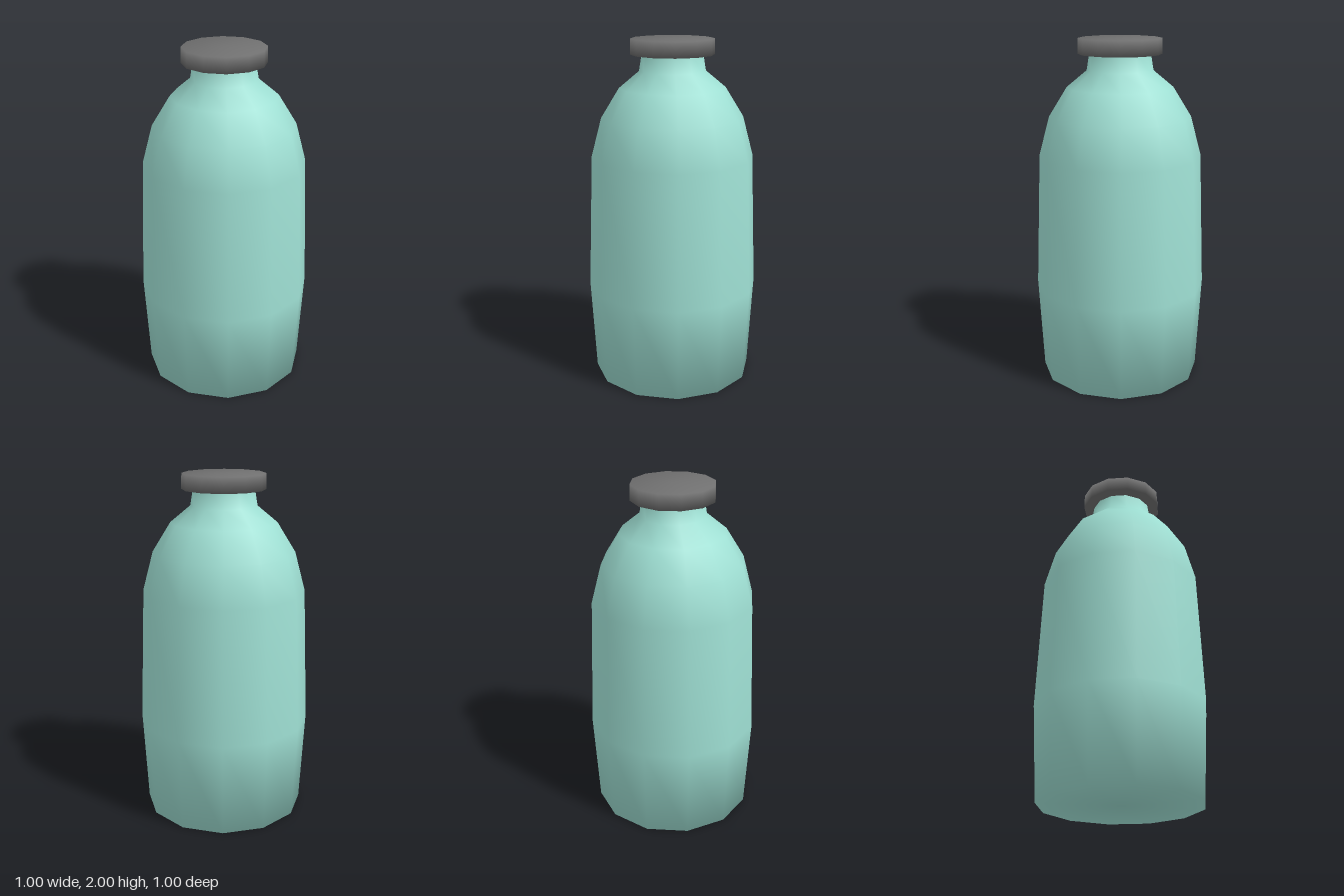
import * as THREE from 'three';

const SIDES = 12;

// Smooth twelve-sided turned part from [radius, height] pairs, bottom to top
function turned(name, color, profile) {
  const points = profile.map(([r, y]) => new THREE.Vector2(r, y));
  const mesh = new THREE.Mesh(
    new THREE.LatheGeometry(points, SIDES),
    new THREE.MeshStandardMaterial({ color })
  );
  mesh.name = name;
  return mesh;
}

export function createModel() {
  const model = new THREE.Group();
  model.name = 'bottle';

  // Body: flat base, slight belly, rounded shoulder and short neck
  model.add(turned('bottleBody', 0x9fe0d4, [
    [0, 0], [0.47, 0], [0.5, 0.55], [0.47, 1.33], [0.41, 1.555],
    [0.305, 1.725], [0.19, 1.82], [0.172, 1.93],
  ]));

  // Cap: closed flat disc overhanging the neck
  model.add(turned('cap', 0x707070, [
    [0, 1.912], [0.24, 1.912], [0.238, 2], [0, 2],
  ]));

  return model;
}
